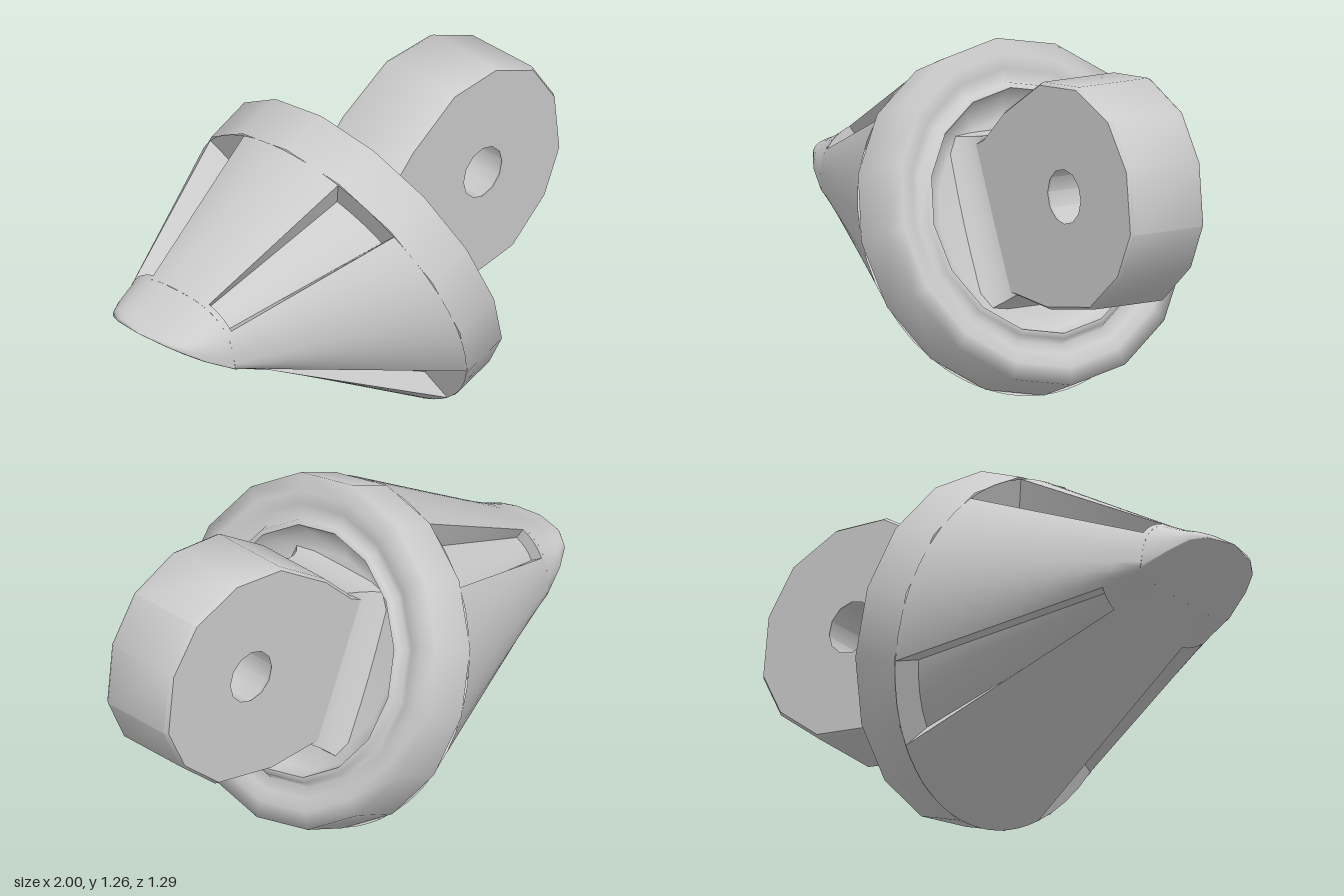
import * as THREE from 'three';
import { ParametricGeometry } from 'three/addons/geometries/ParametricGeometry.js';
import { toCreasedNormals } from 'three/addons/utils/BufferGeometryUtils.js';

const mat = new THREE.MeshStandardMaterial({ color: 0xcccccc, side: THREE.DoubleSide });
const rad = THREE.MathUtils.degToRad;
const lerp = THREE.MathUtils.lerp;

// Cone cross-sections, round at the rim and arched with a flat underside at the nose:
// centre x, y, lean in x, height above and below centre, half width z, roundness power
const sections = [
  [-0.005, 0.599, -0.232, 0.591, 0.591, 0.635, 1],
  [-0.78, 0.635, -0.02, 0.22, 0.03, 0.27, 0.75],
  [-0.88, 0.69, 0, 0.122, 0.015, 0.23, 0.75],
  [-0.94, 0.727, 0, 0.06, 0.01, 0.19, 0.75],
  [-0.975, 0.747, 0, 0.025, 0.005, 0.13, 0.75],
  [-1, 0.76, 0, 0, 0, 0, 0.75],
];

// Point of a cross-section: angle from the top, inset scale
function sectionPoint(i, deg, scale, target) {
  const [cx, cy, lean, up, down, hz, power] = sections[i];
  const soft = v => Math.sign(v) * Math.abs(v) ** power * scale;
  const c = soft(Math.cos(rad(deg))), s = soft(Math.sin(rad(deg)));
  return target.set(cx + lean * c, cy + (c > 0 ? up : down) * c, hz * s);
}

// Point on the straight line from section i at degA to section i + 1 at degB
const end = new THREE.Vector3();
function ruledPoint(i, t, degA, degB, scale, target) {
  return sectionPoint(i, degA, scale, target).lerp(sectionPoint(i + 1, degB, scale, end), t);
}

function add(group, name, geometry) {
  const mesh = new THREE.Mesh(geometry, mat);
  mesh.name = name;
  group.add(mesh);
  return mesh;
}

// Lines along the cone that bound ribs and windows: angle at base, angle at narrow end
const lines = [[0, 0], [22, 24], [47, 58], [112, 118], [141, 148], [180, 180]];
const windowEnds = { 1: 0.97, 3: 0.84 };
const DEPTH = 0.8;

function buildCone() {
  const cone = new THREE.Group();
  cone.name = 'slottedCone';
  for (const side of [1, -1]) {
    // Strip between lines a and b, from t0 to t1 along the cone
    const strip = (name, a, b, t0, t1, s0, s1, n, m) => add(cone, name, new ParametricGeometry((u, v, p) => {
      const w = side > 0 ? u : 1 - u;
      ruledPoint(0, lerp(t0, t1, v), side * lerp(a[0], b[0], w), side * lerp(a[1], b[1], w), lerp(s0, s1, w), p);
    }, n, m));
    // Wall across the end of a window
    const endWall = (a, b, t) => add(cone, 'windowEnd', new ParametricGeometry((u, v, p) => {
      ruledPoint(0, t, side * lerp(a[0], b[0], u), side * lerp(a[1], b[1], u), lerp(DEPTH, 1, v), p);
    }, 4, 1));
    for (let i = 0; i < 5; i++) {
      const a = lines[i], b = lines[i + 1], stop = windowEnds[i];
      if (!stop) {
        strip('rib', a, b, 0, 1, 1, 1, 8, 8);
        continue;
      }
      strip('windowFloor', a, b, 0, stop, DEPTH, DEPTH, 4, 6);
      strip('windowSide', a, a, 0, stop, 1, DEPTH, 1, 6);
      strip('windowSide', b, b, 0, stop, DEPTH, 1, 1, 6);
      strip('ribBridge', a, b, stop, 1, 1, 1, 4, 1);
      endWall(a, b, 0);
      endWall(a, b, stop);
    }
  }
  // Flattened, rounded nose
  add(cone, 'nose', new ParametricGeometry((u, v, p) => {
    const i = Math.min(Math.floor(v * 4 + 1e-6), 3);
    ruledPoint(i + 1, v * 4 - i, u * 360, u * 360, 1, p);
  }, 40, 4));
  return cone;
}

// Tilted rim with a shallow dish inside; local y is the rim axis
function buildRim() {
  const rim = new THREE.Group();
  rim.name = 'rim';
  const lathe = (name, pts) => add(rim, name, new THREE.LatheGeometry(pts.map(p => new THREE.Vector2(...p)), 16));
  lathe('rimBand', [[0.64, -0.185], [0.643, 0], [0.58, 0.012], [0.53, 0.005], [0.49, -0.015], [0.475, 0.015], [0.455, 0.02]]);
  lathe('dish', [[0.455, 0.02], [0.43, -0.045], [0.36, -0.08], [0, -0.09]]);

  // Fillet that blends the sides of the tab into the dish
  const height = 0.17;
  const foot = new THREE.BoxGeometry(0.58, height, 0.33, 1, 6, 1);
  const pos = foot.attributes.position;
  for (let i = 0; i < pos.count; i++) {
    const k = 0.5 - pos.getY(i) / height;
    pos.setX(i, pos.getX(i) + Math.sign(pos.getX(i)) * 0.04 * k * k);
    pos.setZ(i, pos.getZ(i) + Math.sign(pos.getZ(i)) * 0.1 * k ** 3);
  }
  foot.computeVertexNormals();
  add(rim, 'tabFillet', foot).position.y = -0.005;

  rim.position.set(0.167, 0.67, 0);
  rim.rotation.z = -rad(68.6);
  return rim;
}

// Thick rounded tab with a hole
function buildTab(group) {
  const outline = [[0.1, 0.95], [0.22, 1.065], [0.44, 1.205], [0.66, 1.22], [0.86, 1.13], [0.975, 0.96],
    [1, 0.73], [0.92, 0.56], [0.75, 0.42], [0.49, 0.38], [0.3, 0.4], [0.2, 0.4], [0, 0.9]];
  const shape = new THREE.Shape(outline.map(p => new THREE.Vector2(...p)));
  const hole = [];
  for (let i = 0; i < 12; i++) {
    const a = -i / 12 * Math.PI * 2;
    hole.push(new THREE.Vector2(0.59 + 0.11 * Math.cos(a), 0.81 + 0.11 * Math.sin(a)));
  }
  shape.holes.push(new THREE.Path(hole));
  const geo = new THREE.ExtrudeGeometry(shape, {
    depth: 0.3, bevelEnabled: true, bevelThickness: 0.015, bevelSize: 0.01, bevelOffset: -0.01, bevelSegments: 1,
  });
  geo.translate(0, 0, -0.15);
  // Slight taper away from the dish
  const pos = geo.attributes.position;
  for (let i = 0; i < pos.count; i++) pos.setZ(i, pos.getZ(i) * (1.1 - 0.13 * pos.getX(i)));
  add(group, 'holedTab', toCreasedNormals(geo, 0.75));
}

export function createModel() {
  const model = new THREE.Group();
  model.name = 'conePlugWithTab';
  model.add(buildCone(), buildRim());
  buildTab(model);
  return model;
}
